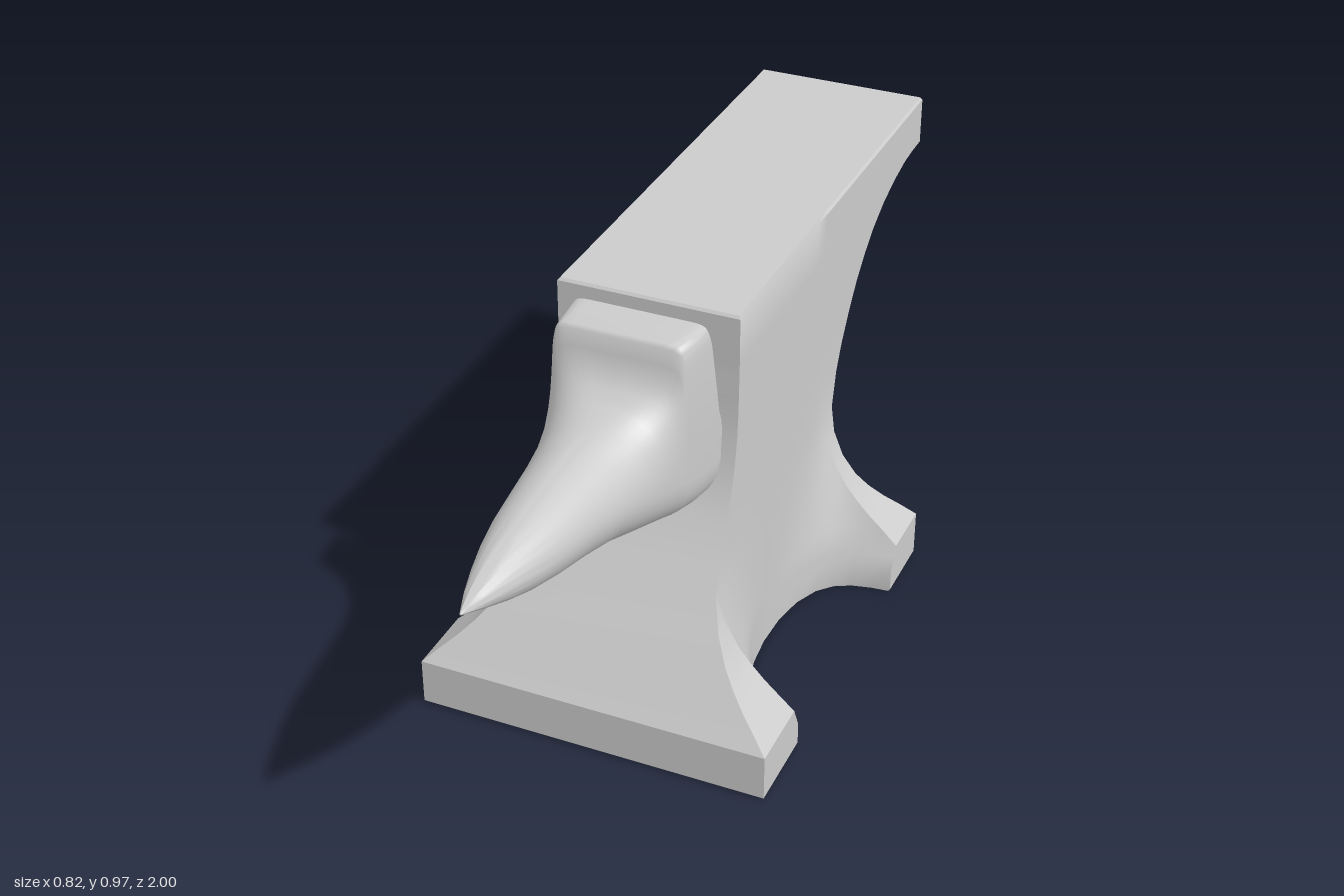
import * as THREE from 'three';
import { toCreasedNormals } from 'three/addons/utils/BufferGeometryUtils.js';

const material = new THREE.MeshStandardMaterial({ color: 0xcccccc });

// Skin a stack of mirror-symmetric rings (clockwise seen from the last ring), with both ends capped
function loft(name, rings, crease) {
  const n = rings[0].length, index = [];
  for (let j = 0; j < rings.length - 1; j++) {
    for (let i = 0; i < n; i++) {
      const a = j * n + i, b = j * n + (i + 1) % n;
      index.push(a, a + n, b, b, a + n, b + n);
    }
  }
  const last = (rings.length - 1) * n;
  for (let i = 0; i < n / 2 - 1; i++) {
    const a = i, b = i + 1, k = n - 2 - i, m = n - 1 - i;
    index.push(a, b, k, a, k, m);
    index.push(last + a, last + k, last + b, last + a, last + m, last + k);
  }
  const geometry = new THREE.BufferGeometry();
  geometry.setAttribute('position', new THREE.Float32BufferAttribute(rings.flat(2), 3));
  geometry.setIndex(index);
  const mesh = new THREE.Mesh(toCreasedNormals(geometry, crease), material);
  mesh.name = name;
  return mesh;
}

// Body levels: y, front z, back z, half width at the feet
const LEVELS = [
  [0, 0.475, -0.5, 0.405], [0.005, 0.48, -0.505, 0.41], [0.06, 0.48, -0.505, 0.41],
  [0.09, 0.48, -0.505, 0.41], [0.115, 0.48, -0.505, 0.41], [0.15, 0.455, -0.48, 0.373],
  [0.18, 0.434, -0.457, 0.34], [0.215, 0.41, -0.435, 0.307], [0.25, 0.386, -0.42, 0.279],
  [0.3, 0.35, -0.411, 0.248], [0.36, 0.308, -0.411, 0.224], [0.42, 0.266, -0.421, 0.212],
  [0.5, 0.215, -0.45, 0.209], [0.56, 0.188, -0.483, 0.208], [0.62, 0.172, -0.523, 0.208],
  [0.68, 0.162, -0.57, 0.208], [0.73, 0.158, -0.623, 0.208], [0.77, 0.157, -0.677, 0.208],
  [0.805, 0.156, -0.745, 0.208], [0.83, 0.155, -0.82, 0.208], [0.845, 0.155, -0.89, 0.208],
  [0.849, 0.155, -0.94, 0.208], [0.85, 0.155, -1, 0.208], [0.961, 0.155, -1, 0.208],
  [0.967, 0.15, -0.997, 0.203],
];

// Plan of the waist between the feet: z, share of the foot's flare
const WAIST = [
  [-0.33, 1], [-0.326, 0.8], [-0.315, 0.56], [-0.295, 0.37], [-0.26, 0.21], [-0.2, 0.08],
  [-0.12, 0.01], [-0.03, 0], [0.05, 0.04], [0.11, 0.11], [0.17, 0.22], [0.215, 0.36],
  [0.25, 0.56], [0.27, 0.8], [0.28, 1],
];

function bodyRing([y, front, back, half]) {
  // round the upper inner corner of each foot
  const shift = 0.03 * THREE.MathUtils.smoothstep(y, 0.05, 0.125);
  const waist = Math.min(half, 0.206);
  const side = [[half, y, back]];
  for (const [z, share] of WAIST) {
    const moved = z + Math.sign(z) * shift * share;
    side.push([waist + (half - waist) * share, y, THREE.MathUtils.clamp(moved, back, front)]);
  }
  side.push([half, y, front]);
  return [...side, ...side.map(([x, h, z]) => [-x, h, z]).reverse()];
}

// Horn sections: z, bottom y, middle y, top y, half width, lower and upper squareness
const HORN = [
  [0.1, 0.507, 0.65, 0.74, 0.172, 3, 4], [0.166, 0.507, 0.65, 0.76, 0.175, 3, 6],
  [0.176, 0.507, 0.65, 0.86, 0.175, 3, 9], [0.188, 0.507, 0.65, 0.945, 0.175, 3, 14],
  [0.193, 0.507, 0.65, 0.955, 0.174, 3, 16], [0.24, 0.51, 0.65, 0.955, 0.169, 2.9, 16],
  [0.294, 0.519, 0.655, 0.955, 0.162, 2.7, 16], [0.301, 0.521, 0.656, 0.947, 0.161, 2.7, 14],
  [0.306, 0.522, 0.657, 0.91, 0.16, 2.7, 9], [0.318, 0.524, 0.66, 0.875, 0.157, 2.6, 6],
  [0.34, 0.529, 0.664, 0.848, 0.152, 2.5, 4], [0.38, 0.54, 0.67, 0.827, 0.143, 2.4, 2.8],
  [0.44, 0.556, 0.678, 0.814, 0.131, 2.2, 2.2], [0.52, 0.582, 0.69, 0.807, 0.117, 2, 2],
  [0.62, 0.608, 0.704, 0.8, 0.1, 2, 2], [0.72, 0.631, 0.712, 0.792, 0.085, 2, 2],
  [0.8, 0.652, 0.717, 0.782, 0.068, 2, 2], [0.87, 0.677, 0.722, 0.768, 0.049, 2, 2],
  [0.94, 0.706, 0.729, 0.752, 0.026, 2, 2], [0.985, 0.726, 0.733, 0.741, 0.008, 2, 2],
  [1, 0.732, 0.734, 0.736, 0.002, 2, 2],
];

function hornRing([z, bottom, middle, top, half, low, high]) {
  const count = 48;
  return Array.from({ length: count }, (_, i) => {
    const t = (i + 0.5) / count * Math.PI * 2, s = Math.sin(t), c = Math.cos(t);
    const power = 2 / (c > 0 ? high : low);
    const rise = Math.sign(c) * Math.abs(c) ** power;
    const y = middle + rise * (c > 0 ? top - middle : middle - bottom);
    // the sides lean in slightly towards the table
    const lean = 1 - 0.3 * Math.max(0, y - middle);
    return [Math.sign(s) * Math.abs(s) ** power * half * lean, y, z];
  });
}

export function createModel() {
  const group = new THREE.Group();
  group.name = 'anvil';
  group.add(loft('body', LEVELS.map(bodyRing), 0.6));
  group.add(loft('horn', HORN.map(hornRing), 0.9));
  return group;
}
